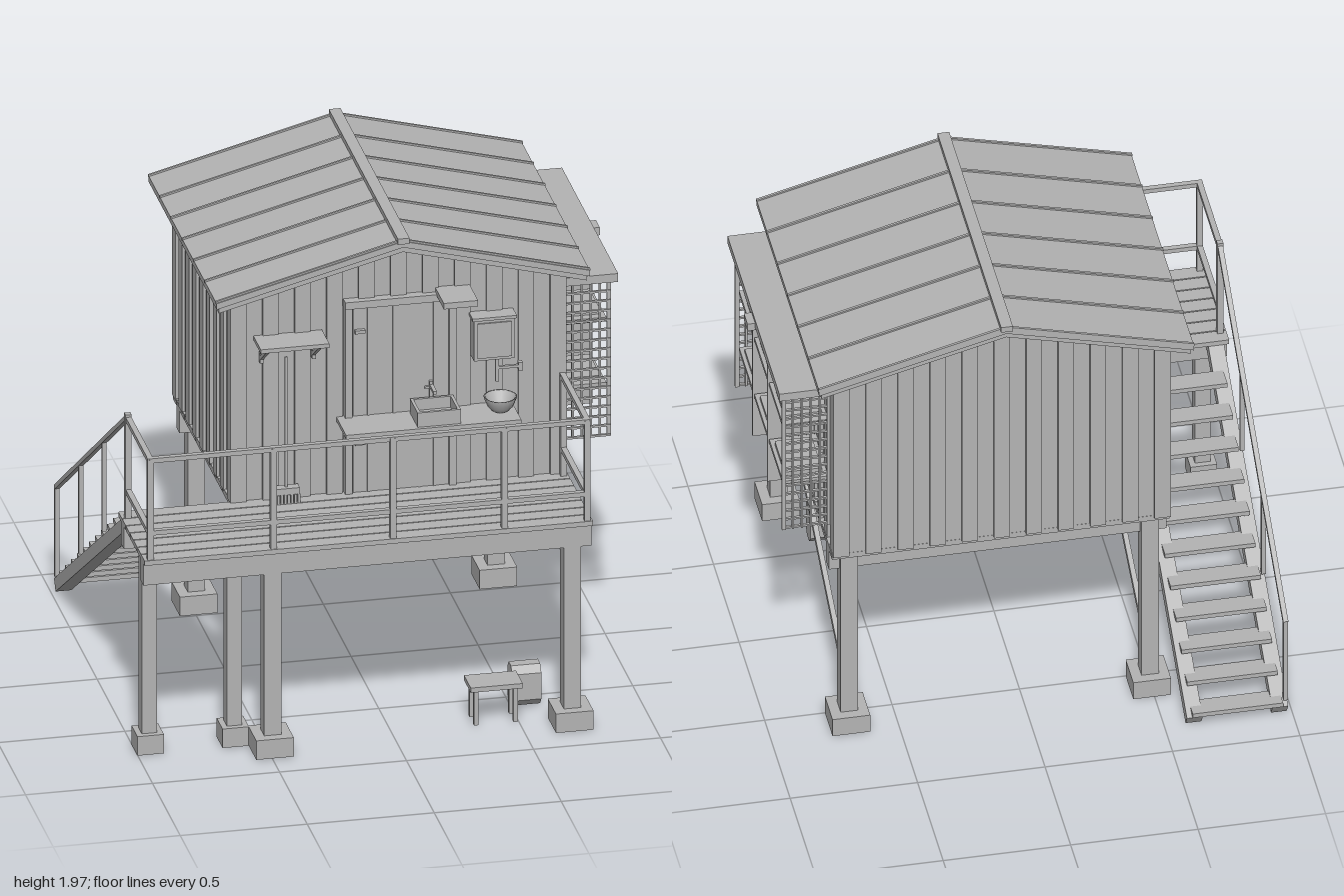
import * as THREE from 'three';

const grey = new THREE.MeshStandardMaterial({ color: 0xb4b4b4 });
grey.name = 'weathered grey';

export function createModel() {
  const root = new THREE.Group();
  root.name = 'stiltCabin';

  const add = (name, geometry, parent = root) => {
    const m = new THREE.Mesh(geometry, grey);
    m.name = name;
    parent.add(m);
    return m;
  };
  const group = (name) => {
    const g = new THREE.Group();
    g.name = name;
    root.add(g);
    return g;
  };
  // Box given by its limits on each axis
  const box = (name, x0, x1, y0, y1, z0, z1, parent) => {
    const m = add(name, new THREE.BoxGeometry(x1 - x0, y1 - y0, z1 - z0), parent);
    m.position.set((x0 + x1) / 2, (y0 + y1) / 2, (z0 + z1) / 2);
    return m;
  };
  // Rectangular bar between two points
  const bar = (name, a, b, w, h, parent) => {
    const p = new THREE.Vector3(...a), q = new THREE.Vector3(...b);
    const m = add(name, new THREE.BoxGeometry(w, h, p.distanceTo(q)), parent);
    m.position.copy(p).lerp(q, 0.5);
    m.lookAt(q);
    return m;
  };
  const prism = (name, points, z0, z1, parent) => {
    const shape = new THREE.Shape(points.map(([x, y]) => new THREE.Vector2(x, y)));
    const m = add(name, new THREE.ExtrudeGeometry(shape, { depth: z1 - z0, bevelEnabled: false }), parent);
    m.position.z = z0;
    return m;
  };

  // Posts, footings, braces and beams
  const frame = group('supportFrame');
  for (const x of [-0.49, 0.69]) {
    for (const z of [0.8, -0.578]) {
      box('post', x - 0.034, x + 0.034, 0.09, 0.86, z - 0.034, z + 0.034, frame);
      box('footing', x - 0.074, x + 0.074, 0.015, 0.095, z - 0.074, z + 0.074, frame);
    }
    bar('brace', [x, 0.8, 0.74], [x, 0.2, -0.56], 0.02, 0.026, frame);
  }
  for (const x of [-0.95, -0.615]) {
    box('smallPost', x - 0.03, x + 0.03, 0.09, 0.86, 0.655, 0.715, frame);
    box('smallFooting', x - 0.052, x + 0.052, 0.015, 0.095, 0.632, 0.738, frame);
  }
  box('frontBeam', -1, 0.765, 0.775, 0.868, 0.77, 0.835, frame);
  box('middleBeam', -1, 0.765, 0.775, 0.868, 0.43, 0.485, frame);
  box('backBeam', -0.56, 0.765, 0.775, 0.868, -0.585, -0.53, frame);

  // Deck boards and the cabin floor
  const deck = group('deck');
  for (let i = 0; i < 7; i++) {
    const z = 0.858 - i * 0.0685;
    box('deckBoard', -1, 0.765, 0.868, 0.888, z - 0.063, z, deck);
  }
  for (let i = 0; i < 15; i++) {
    const z = 0.378 - i * 0.0685;
    box('floorBoard', -0.56, 0.765, 0.868, 0.892, z - 0.065, z, deck);
  }

  // Cabin walls with vertical cover boards
  const cabin = group('cabin');
  const gable = (x) => 1.935 - 0.262 * Math.abs(x - 0.1);
  prism('walls', [[-0.55, 0.888], [0.75, 0.888], [0.75, gable(0.75)], [0.1, gable(0.1)], [-0.55, gable(-0.55)]], -0.645, 0.385, cabin);
  const boardW = 0.062;
  for (let i = 0; i <= 10; i++) {
    const x = -0.56 + boardW / 2 + i * (1.32 - boardW) / 10;
    const l = x - boardW / 2, r = x + boardW / 2;
    for (const [z0, z1] of [[0.385, 0.398], [-0.658, -0.645]]) {
      const top = l < 0.1 && r > 0.1 ? [[r, gable(r)], [0.1, gable(0.1)], [l, gable(l)]] : [[r, gable(r)], [l, gable(l)]];
      prism('gableBoard', [[l, 0.885], [r, 0.885], ...top], z0, z1, cabin);
    }
  }
  for (let i = 0; i <= 8; i++) {
    const z = -0.627 + i * (0.994 / 8);
    for (const [x0, x1] of [[-0.562, -0.55], [0.75, 0.762]]) {
      box('sideBoard', x0, x1, 0.885, 1.755, z - 0.031, z + 0.031, cabin);
    }
  }

  // Roof slab, barge boards, seams and ridge cap
  const roof = group('roof');
  const chevron = (half, top, thick) => [
    [0.1 - half, top - 0.262 * half], [0.1 - half, top - 0.262 * half - thick], [0.1, top - thick],
    [0.1 + half, top - 0.262 * half - thick], [0.1 + half, top - 0.262 * half], [0.1, top],
  ];
  prism('roofSlab', chevron(0.735, 1.967, 0.025), -0.745, 0.485, roof);
  prism('frontBargeBoard', chevron(0.725, 1.944, 0.024), 0.44, 0.478, roof);
  prism('backBargeBoard', chevron(0.725, 1.944, 0.024), -0.738, -0.7, roof);
  for (let i = 0; i < 7; i++) {
    const z = -0.74 + i * 0.2025;
    prism('roofSeam', chevron(0.737, 1.974, 0.01), z - 0.005, z + 0.005, roof);
  }
  box('ridgeCap', 0.077, 0.123, 1.958, 1.982, -0.755, 0.492, roof);

  // Deck railing
  const rail = group('railing');
  for (const x of [-0.975, -0.49, -0.02, 0.42, 0.745]) {
    box('railPost', x - 0.012, x + 0.012, 0.885, 1.31, 0.83, 0.854, rail);
  }
  for (const y of [1.0, 1.305]) {
    box('frontRail', -0.987, 0.757, y - 0.009, y + 0.01, 0.831, 0.853, rail);
    box('rightEndRail', -0.986, -0.964, y - 0.009, y + 0.01, 0.44, 0.84, rail);
    box('leftEndRail', 0.734, 0.756, y - 0.009, y + 0.01, 0.4, 0.84, rail);
  }
  box('railPost', -0.987, -0.963, 0.885, 1.325, 0.43, 0.454, rail);
  box('railPost', 0.733, 0.757, 0.885, 1.31, 0.4, 0.424, rail);

  // Stairs and handrail
  const stairs = group('stairs');
  for (const x of [-0.95, -0.615]) {
    bar('stringer', [x, 0.855, 0.42], [x, 0.035, -0.85], 0.062, 0.052, stairs);
  }
  for (let i = 0; i < 11; i++) {
    const y = 0.8 - i * 0.0727, z = 0.26 - i * 0.109;
    box('tread', -0.96, -0.605, y - 0.01, y + 0.009, z - 0.043, z + 0.043, stairs);
  }
  bar('handrail', [-0.975, 1.31, 0.442], [-0.975, 0.45, -0.845], 0.02, 0.018, stairs);
  for (const z of [0.01, -0.41, -0.84]) {
    const top = 1.31 + (z - 0.442) * 0.668;
    box('handrailPost', -0.984, -0.966, top - 0.38, top, z - 0.008, z + 0.008, stairs);
  }

  // Side shelving with lattice ends
  const shelf = group('sideShelves');
  box('shelfRoof', 0.755, 0.97, 1.665, 1.7, -0.64, 0.375, shelf);
  for (const z of [0.015, -0.275]) box('divider', 0.755, 0.945, 1.0, 1.67, z - 0.006, z + 0.006, shelf);
  for (const z of [0.33, -0.585]) {
    for (let i = 0; i < 6; i++) {
      const x = 0.765 + i * 0.0355, w = i === 0 || i === 5 ? 0.008 : 0.004;
      box('latticeUpright', x - w, x + w, 1.0, 1.67, z - 0.008, z + 0.004, shelf);
    }
    for (let i = 0; i < 17; i++) {
      const y = 1.005 + i * 0.0405;
      box('latticeBar', 0.76, 0.948, y - 0.004, y + 0.004, z - 0.003, z + 0.008, shelf);
    }
  }
  for (const [z0, z1] of [[0.025, 0.3], [-0.265, 0.0], [-0.56, -0.29]]) {
    for (const y of [1.205, 1.48]) {
      box('shelfBoard', 0.755, 0.94, y - 0.012, y + 0.006, z0, z1, shelf);
      box('shelfTray', 0.78, 0.925, y + 0.006, y + 0.022, z0 + 0.035, z1 - 0.035, shelf);
    }
  }
  box('sideLamp', 0.965, 1.0, 1.652, 1.685, -0.165, -0.095, shelf);

  // Door frame and hood
  const door = group('door');
  box('doorPanel', -0.08, 0.3, 0.89, 1.67, 0.385, 0.404, door);
  box('doorHeader', -0.115, 0.325, 1.672, 1.702, 0.385, 0.425, door);
  for (const x of [-0.1, 0.31]) box('doorJamb', x - 0.014, x + 0.014, 0.89, 1.672, 0.385, 0.418, door);
  for (const x of [-0.02, 0.08, 0.18, 0.24]) box('doorBatten', x - 0.005, x + 0.005, 0.89, 1.67, 0.4, 0.409, door);
  for (const y of [1.1, 1.57]) box('hinge', -0.075, -0.035, y - 0.007, y + 0.007, 0.4, 0.42, door);
  box('lampHood', 0.245, 0.38, 1.695, 1.72, 0.39, 0.55, door);

  // Coat rack and broom
  const rack = group('coatRack');
  box('rackShelf', -0.47, -0.2, 1.565, 1.582, 0.39, 0.525, rack);
  for (const x of [-0.44, -0.235]) {
    bar('rackBracket', [x, 1.57, 0.515], [x, 1.49, 0.4], 0.014, 0.014, rack);
    box('rackUpright', x - 0.007, x + 0.007, 1.47, 1.57, 0.39, 0.408, rack);
  }
  const broom = group('broom');
  box('broomHandle', -0.355, -0.345, 0.93, 1.5, 0.425, 0.435, broom);
  box('broomHead', -0.4, -0.3, 0.925, 0.952, 0.412, 0.45, broom);
  for (let i = 0; i < 8; i++) {
    const x = -0.402 + i * 0.0135;
    box('bristles', x, x + 0.01, 0.89, 0.926, 0.41, 0.452, broom);
  }

  // Wash counter, basin, bowl and cabinet
  const wash = group('washStand');
  box('counter', -0.145, 0.545, 1.195, 1.212, 0.39, 0.575, wash);
  for (const x of [-0.1, 0.49]) {
    bar('counterBracket', [x, 1.2, 0.545], [x, 1.11, 0.4], 0.016, 0.014, wash);
    box('counterUpright', x - 0.008, x + 0.008, 1.1, 1.2, 0.39, 0.41, wash);
  }
  box('basinFloor', 0.14, 0.31, 1.212, 1.225, 0.42, 0.56, wash);
  for (const x of [0.14, 0.298]) box('basinSide', x, x + 0.012, 1.212, 1.272, 0.42, 0.56, wash);
  for (const z of [0.42, 0.548]) box('basinWall', 0.14, 0.31, 1.212, 1.272, z, z + 0.012, wash);
  box('faucetPost', 0.218, 0.232, 1.212, 1.335, 0.404, 0.418, wash);
  box('faucetSpout', 0.218, 0.232, 1.31, 1.323, 0.405, 0.485, wash);
  box('faucetHandle', 0.2, 0.235, 1.305, 1.313, 0.404, 0.414, wash);
  const bowl = [[0, 0], [0.032, 0], [0.05, 0.02], [0.065, 0.058], [0.058, 0.058], [0.044, 0.024], [0.028, 0.01], [0, 0.01]];
  add('bowl', new THREE.LatheGeometry(bowl.map(([r, y]) => new THREE.Vector2(r, y)), 20), wash).position.set(0.485, 1.213, 0.47);
  box('wallCabinet', 0.385, 0.545, 1.42, 1.595, 0.39, 0.455, wash);
  box('cabinetTop', 0.378, 0.552, 1.59, 1.602, 0.39, 0.462, wash);
  box('cabinetDoor', 0.398, 0.532, 1.432, 1.578, 0.45, 0.461, wash);
  box('waterPipe', 0.473, 0.487, 1.32, 1.42, 0.425, 0.439, wash);
  box('tapArm', 0.473, 0.57, 1.37, 1.381, 0.425, 0.437, wash);
  box('tapKnob', 0.563, 0.58, 1.358, 1.393, 0.42, 0.442, wash);

  // Stool and water can on the ground
  const stool = group('stool');
  box('seat', 0.305, 0.51, 0.165, 0.185, 0.638, 0.762, stool);
  for (const x of [0.33, 0.485]) {
    for (const z of [0.66, 0.74]) box('stoolLeg', x - 0.009, x + 0.009, 0.02, 0.166, z - 0.009, z + 0.009, stool);
  }
  const can = prism('waterCan', [
    [-0.022, 0.022], [0.022, 0.022], [0.044, 0.05], [0.044, 0.16], [0.022, 0.19], [-0.022, 0.19], [-0.044, 0.16], [-0.044, 0.05],
  ], 0, 0.115);
  can.rotation.y = Math.PI / 2;
  can.position.set(0.498, 0, 0.58);

  return root;
}
